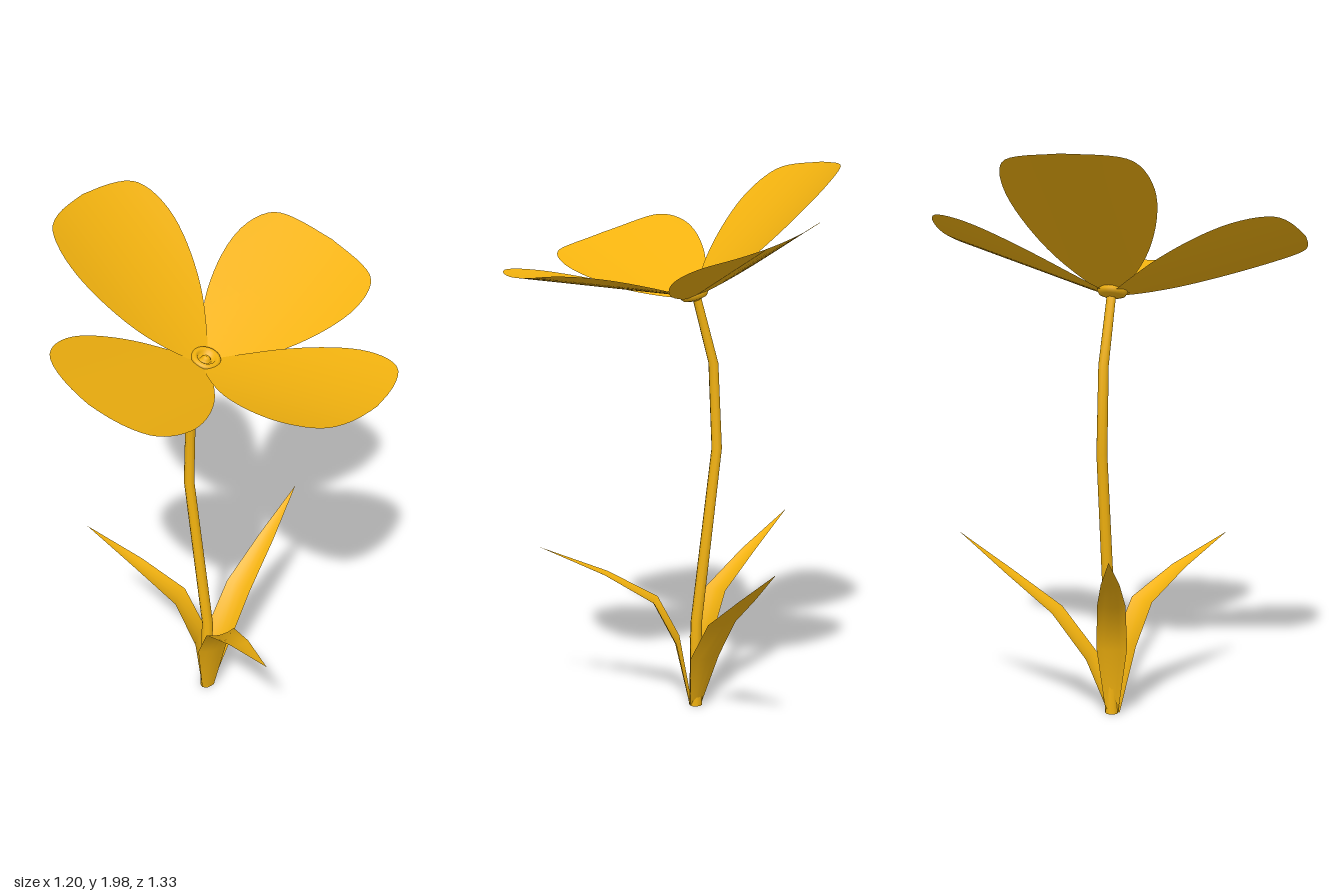
import * as THREE from 'three';
import { mergeVertices } from 'three/addons/utils/BufferGeometryUtils.js';

const gold = new THREE.MeshStandardMaterial({ color: 0xf2b20f, side: THREE.DoubleSide });

// Smooth surface from a grid of points: point(i, j) returns [x, y, z]
function surface(rows, cols, point) {
  const pos = [], index = [];
  for (let i = 0; i <= rows; i++)
    for (let j = 0; j <= cols; j++) pos.push(...point(i, j));
  for (let i = 0; i < rows; i++)
    for (let j = 0; j < cols; j++) {
      const a = i * (cols + 1) + j, b = a + cols + 1;
      index.push(a, a + 1, b, a + 1, b + 1, b);
    }
  let g = new THREE.BufferGeometry();
  g.setAttribute('position', new THREE.Float32BufferAttribute(pos, 3));
  g.setIndex(index);
  g = mergeVertices(g, 1e-5);
  g.computeVertexNormals();
  return g;
}

function add(parent, name, geometry) {
  const mesh = new THREE.Mesh(geometry, gold);
  mesh.name = name;
  parent.add(mesh);
  return mesh;
}

// Petal outline: fraction of length, half width
const outline = new THREE.SplineCurve([
  [0.02, 0.03], [0.12, 0.09], [0.27, 0.162], [0.42, 0.212], [0.58, 0.247], [0.72, 0.259],
  [0.85, 0.245], [0.935, 0.205], [0.98, 0.12], [1, 0],
].map(([t, w]) => new THREE.Vector2(t, w)));

// Shallow cupped petal lying along +x
function petalGeometry(length) {
  return surface(27, 12, (i, j) => {
    const p = outline.getPoint(i / 27);
    const z = (j / 6 - 1) * Math.max(p.y, 0);
    return [p.x * length, 0.45 * z * z, z];
  });
}

// Folded leaf along +x, from stations [distance, height, half width]
function leafGeometry(stations) {
  return surface(stations.length - 1, 4, (i, j) => {
    const [r, y, w] = stations[i];
    const s = j / 2 - 1, fold = 0.2 * w * s * s;
    return [r - fold, y + fold * 0.5, s * w];
  });
}

export function createModel() {
  const model = new THREE.Group();
  model.name = 'flower';

  // Bent, tapering stem: x, y, z, radius
  const path = [
    [-0.092, 0.01, 0, 0.024], [-0.09, 0.33, -0.008, 0.021], [-0.17, 0.97, -0.01, 0.019],
    [-0.156, 1.28, -0.008, 0.018], [-0.09, 1.525, 0, 0.016],
  ];
  add(model, 'stem', surface(path.length - 1, 10, (i, j) => {
    const [x, y, z, r] = path[i], a = (j % 10) / 10 * Math.PI * 2;
    return [x + r * Math.cos(a), y, z + r * Math.sin(a)];
  }));

  // Three leaves around the stem foot
  const leaves = [
    { name: 'rightLeaf', turn: 197, s: [[0.015, 0.01, 0.022], [0.035, 0.25, 0.055], [0.115, 0.43, 0.05], [0.28, 0.55, 0.032], [0.48, 0.68, 0]] },
    { name: 'leftLeaf', turn: -31, s: [[0.02, 0.01, 0.025], [0.075, 0.25, 0.058], [0.155, 0.4, 0.055], [0.335, 0.5, 0.035], [0.575, 0.597, 0]] },
    { name: 'backLeaf', turn: 90, s: [[0.01, 0.01, 0.022], [0.09, 0.21, 0.058], [0.22, 0.37, 0.055], [0.4, 0.5, 0.033], [0.59, 0.64, 0]] },
  ];
  for (const { name, turn, s } of leaves) {
    const leaf = add(model, name, leafGeometry(s));
    leaf.position.x = -0.09;
    leaf.rotation.y = THREE.MathUtils.degToRad(turn);
  }

  // Blossom, tilted toward +x
  const blossom = new THREE.Group();
  blossom.name = 'blossom';
  blossom.position.set(-0.085, 1.518, 0);
  blossom.rotation.z = THREE.MathUtils.degToRad(-17.6);
  model.add(blossom);

  // Petals: turn around the axis, rise and length
  const petals = [
    ['leftPetal', 0, 25, 0.69], ['backPetal', 90, 18, 0.7],
    ['rightPetal', 180, 25, 0.7], ['frontPetal', 270, 18, 0.7],
  ];
  for (const [name, turn, rise, length] of petals) {
    const petal = add(blossom, name, petalGeometry(length));
    petal.rotation.set(0, THREE.MathUtils.degToRad(turn), THREE.MathUtils.degToRad(rise));
  }

  // Ringed centre with a small bud
  const profile = [
    [0.016, -0.012], [0.045, -0.002], [0.054, 0.012], [0.05, 0.024], [0.04, 0.027], [0.032, 0.022],
    [0.027, 0.01], [0.018, 0.008], [0.015, 0.018], [0.009, 0.025], [0, 0.026],
  ].map(([r, y]) => new THREE.Vector2(r, y));
  add(blossom, 'centre', new THREE.LatheGeometry(profile, 24));

  return model;
}
